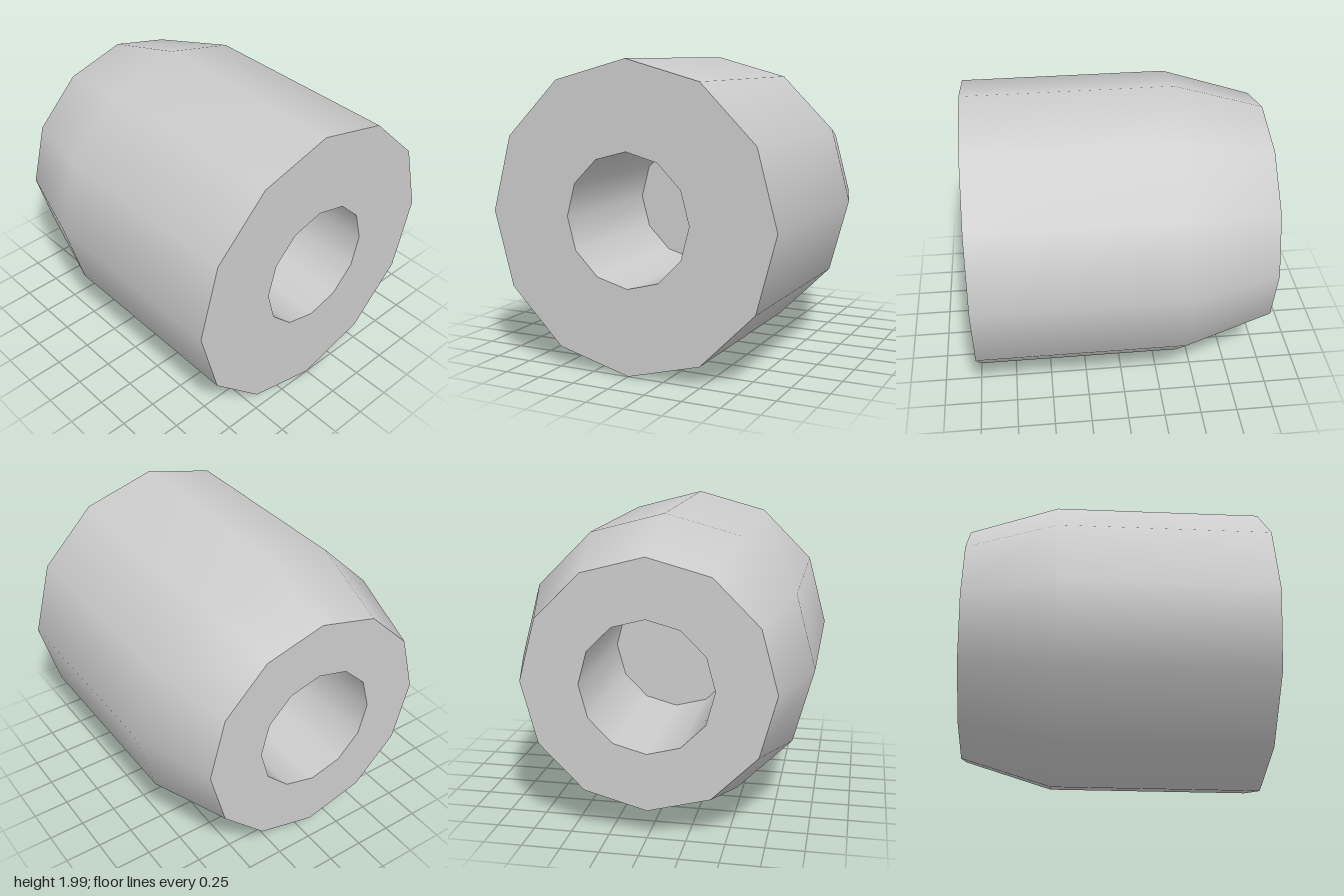
import * as THREE from 'three';

const SIDES = 12;
const R = 0.995;      // body radius
const R_TIP = 0.81;   // radius of the tapered end
const R_BORE = 0.43;  // radius of the socket in each end

export function createModel() {
  const group = new THREE.Group();
  group.name = 'taperedSleeve';
  const grey = new THREE.MeshStandardMaterial({ color: 0xcccccc });
  grey.name = 'plainGrey';

  // Turns a profile of [radius, x] points around the long axis
  const addTurned = (name, profile) => {
    const geometry = new THREE.LatheGeometry(
      profile.map(([r, x]) => new THREE.Vector2(r, x)), SIDES);
    geometry.rotateZ(-Math.PI / 2);
    geometry.translate(0, R, 0);
    const mesh = new THREE.Mesh(geometry, grey);
    mesh.name = name;
    group.add(mesh);
  };

  // Smooth outer shell with a tapered end at -x
  addTurned('outerShell', [[R_TIP, -1], [R, -0.4], [R, 1]]);

  // Flat rings around the openings
  addTurned('wideEndRing', [[R, 1], [R_BORE, 1]]);
  addTurned('taperedEndRing', [[R_BORE, -1], [R_TIP, -1]]);

  // Sockets from both ends, meeting at a thin wall in the middle
  addTurned('wideEndSocket', [[R_BORE, 1], [R_BORE, 0.01]]);
  addTurned('wideEndSocketFloor', [[R_BORE, 0.01], [0, 0.01]]);
  addTurned('taperedEndSocket', [[R_BORE, -0.01], [R_BORE, -1]]);
  addTurned('taperedEndSocketFloor', [[0, -0.01], [R_BORE, -0.01]]);

  return group;
}
